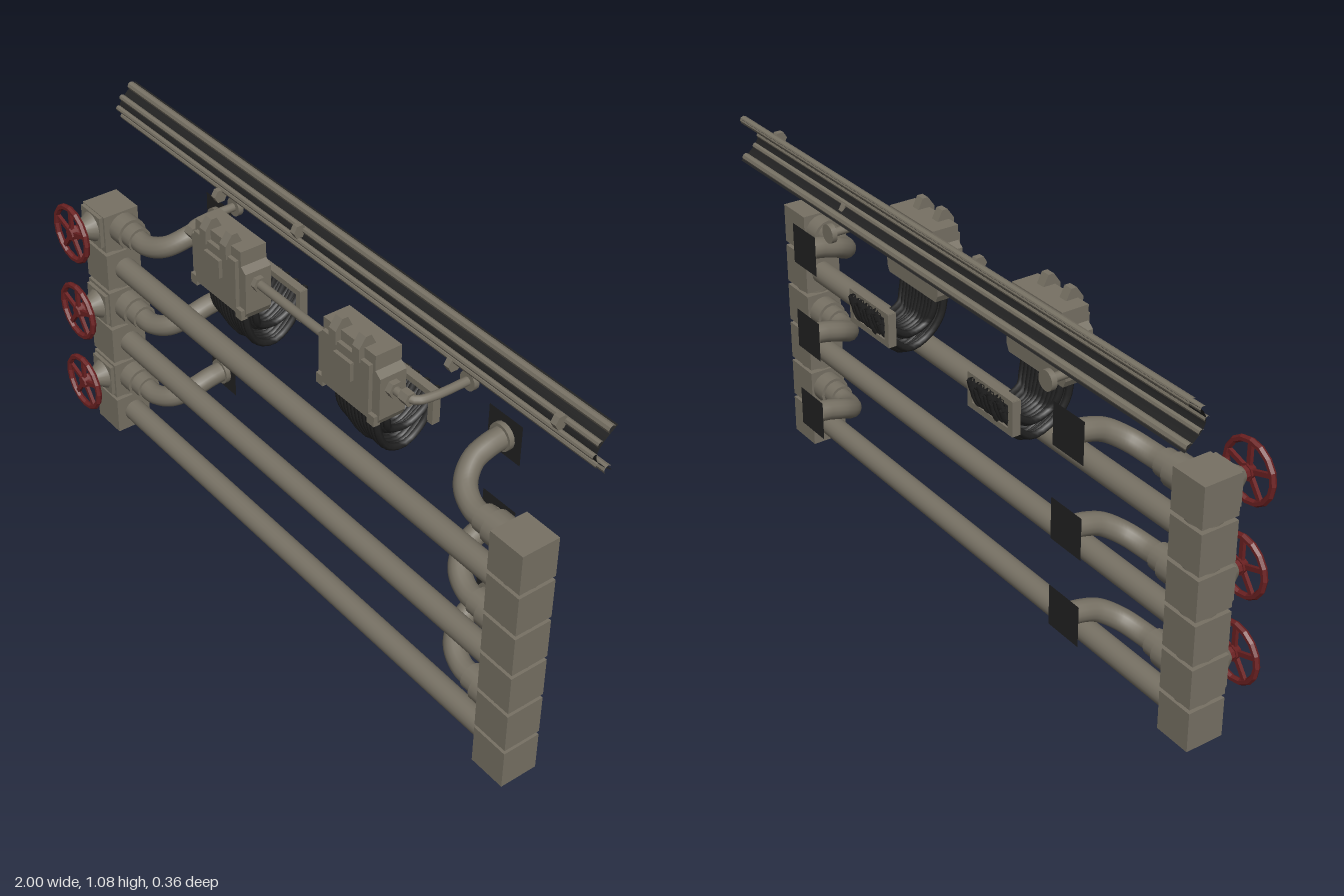
import * as THREE from 'three';

const steel = new THREE.MeshStandardMaterial({ name: 'grey brown steel', color: 0x777164 });
const steelFlat = new THREE.MeshStandardMaterial({ name: 'faceted steel', color: 0x777164, flatShading: true });
const red = new THREE.MeshStandardMaterial({ name: 'valve red', color: 0x6c2122, flatShading: true });
const black = new THREE.MeshStandardMaterial({ name: 'black rubber', color: 0x222222, side: THREE.DoubleSide });

const V = (x, y, z) => new THREE.Vector3(x, y, z);

function add(parent, name, geo, mat, x = 0, y = 0, z = 0) {
  const m = new THREE.Mesh(geo, mat);
  m.name = name;
  m.position.set(x, y, z);
  parent.add(m);
  return m;
}
const box = (p, name, w, h, d, x, y, z, mat = steel) =>
  add(p, name, new THREE.BoxGeometry(w, h, d), mat, x, y, z);

// Round part along an axis; r1 is the radius at the positive end
function rod(p, name, axis, r0, r1, len, x, y, z, mat = steel, sides = 16, open = false) {
  const g = new THREE.CylinderGeometry(r1, r0, len, sides, 1, open);
  if (axis === 'x') g.rotateZ(-Math.PI / 2);
  if (axis === 'z') g.rotateX(Math.PI / 2);
  return add(p, name, g, mat, x, y, z);
}
const tube = (p, name, pts, r, mat, seg = 20, sides = 12) =>
  add(p, name, new THREE.TubeGeometry(new THREE.CatmullRomCurve3(pts), seg, r, sides), mat);

// Stack of valve blocks joined by necks
function column(x) {
  const g = new THREE.Group();
  g.name = 'column';
  for (let i = 0; i < 6; i++) {
    const y = i * 0.1325 + 0.06;
    box(g, 'valveBlock', 0.115, 0.12, 0.115, x, y, 0.037);
    if (i < 5) rod(g, 'blockNeck', 'y', 0.05, 0.05, 0.03, x, y + 0.066, 0.037);
  }
  return g;
}

// Curved branch pipe; side -1 is the model's right, +1 its left
function branch(side, y) {
  const g = new THREE.Group();
  g.name = 'branchPipe';
  const X = (d) => 0.014 + side * d;
  rod(g, 'branchCollar', 'x', 0.047, 0.047, 0.05, X(0.82), y, 0.032);
  rod(g, 'branchSleeve', 'x', 0.038, 0.038, 0.04, X(0.775), y, 0.032);
  tube(g, 'branchBend', [
    V(X(0.79), y, 0.032), V(X(0.715), y, 0.03), V(X(0.655), y + 0.02, 0.005),
    V(X(0.622), y + 0.05, -0.045), V(X(0.616), y + 0.067, -0.1), V(X(0.615), y + 0.072, -0.14),
  ], 0.031, steel, 24, 14);
  rod(g, 'branchFlange', 'z', 0.039, 0.039, 0.015, X(0.615), y + 0.073, -0.143);
  add(g, 'wallPlate', new THREE.PlaneGeometry(0.122, 0.122), black, X(0.615), y + 0.073, -0.152);
  return g;
}

// Red hand wheel on its bonnet
function valve(x, y) {
  const g = new THREE.Group();
  g.name = 'valve';
  g.position.set(x, y, 0);
  box(g, 'bonnetPlate', 0.1, 0.1, 0.012, 0, 0, 0.1);
  rod(g, 'bonnet', 'z', 0.047, 0.022, 0.04, 0, 0, 0.124);
  rod(g, 'stem', 'z', 0.02, 0.02, 0.02, 0, 0, 0.15, red, 8);
  rod(g, 'wheelHub', 'z', 0.024, 0.018, 0.022, 0, 0, 0.169, red, 8);
  add(g, 'wheelRim', new THREE.TorusGeometry(0.083, 0.0095, 6, 16), red, 0, 0, 0.171);
  for (let i = 0; i < 5; i++) {
    const a = Math.PI / 2 + i * Math.PI * 0.4;
    const s = box(g, 'wheelSpoke', 0.07, 0.013, 0.01, Math.cos(a) * 0.048, Math.sin(a) * 0.048, 0.17, red);
    s.rotation.z = a;
  }
  return g;
}

// Junction box with its drooping wire bundle
function junction(x) {
  const g = new THREE.Group();
  g.name = 'junctionBox';
  g.position.x = x;
  const s = new THREE.Shape([
    [-0.115, 0.79], [0.115, 0.79], [0.125, 0.81], [0.125, 0.935], [0.105, 0.95],
    [0.105, 0.995], [-0.105, 0.995], [-0.105, 0.95], [-0.125, 0.935], [-0.125, 0.81],
  ].map(([a, b]) => new THREE.Vector2(a, b)));
  add(g, 'boxBody', new THREE.ExtrudeGeometry(s, { depth: 0.082, bevelEnabled: false }), steel, 0, 0, -0.016);
  box(g, 'boxDoor', 0.19, 0.16, 0.014, 0, 0.885, 0.071);
  box(g, 'doorPanel', 0.07, 0.055, 0.012, 0, 0.912, 0.083);
  for (const k of [-1, 1]) {
    // Sloped latch over the top edge
    const l = new THREE.Shape([[0.03, 0.995], [0.045, 1.025], [0.062, 1.025], [0.083, 0.995], [0.083, 0.955], [0.06, 0.955]]
      .map(([a, b]) => new THREE.Vector2(-a, b)));
    const geo = new THREE.ExtrudeGeometry(l, { depth: 0.028, bevelEnabled: false });
    geo.rotateY(Math.PI / 2);
    add(g, 'topLatch', geo, steel, k * 0.047 - 0.014, 0, 0);
    box(g, 'bottomHinge', 0.028, 0.03, 0.02, k * 0.105, 0.805, 0.068);
    box(g, 'bracketSide', 0.02, 0.1, 0.025, k * 0.088, 0.735, -0.145);
  }
  box(g, 'bracketTop', 0.19, 0.018, 0.025, 0, 0.777, -0.145);
  box(g, 'bracketBase', 0.19, 0.018, 0.025, 0, 0.694, -0.145);
  // Wires hang lower towards the middle, in two layers
  for (let layer = 0; layer < 2; layer++) {
    for (let i = -5; i <= 5; i++) {
      const t = i / 5;
      const low = layer * 0.05 + 0.012 * t * t + 0.006 * Math.sin(i * 7.3 + layer * 2);
      const end = 0.012 * Math.sin(i * 4.1 + layer);
      tube(g, 'wire', [
        V(t * 0.078, 0.8, 0.04 - layer * 0.03), V(t * 0.076, 0.71 + low * 0.5, 0.025 - layer * 0.025),
        V(t * 0.066, 0.645 + low, -0.015), V(t * 0.064, 0.627 + low, -0.07),
        V(t * 0.068, 0.668 + low * 0.8, -0.122), V(t * 0.07, 0.735 + low * 0.4 + end, -0.16),
        V(t * 0.07, 0.765 + end, -0.167),
      ], 0.0105, black, 18, 6);
    }
  }
  return g;
}

// Thin conduit from a box back to the wall
function conduit(side) {
  const g = new THREE.Group();
  g.name = 'conduit';
  rod(g, 'conduitNut', 'x', 0.024, 0.024, 0.018, side * 0.42, 0.9, 0.03, steelFlat, 6);
  tube(g, 'conduitBend', [
    V(side * 0.4, 0.9, 0.03), V(side * 0.455, 0.9, 0.03), V(side * 0.488, 0.9, 0.015),
    V(side * 0.5, 0.9, -0.03), V(side * 0.502, 0.9, -0.14),
  ], 0.0125, steel);
  rod(g, 'conduitElbow', 'x', 0.02, 0.02, 0.03, side * 0.465, 0.9, 0.026, steelFlat, 6);
  rod(g, 'conduitFlange', 'z', 0.028, 0.028, 0.016, side * 0.502, 0.9, -0.141);
  return g;
}

// Curved cable tray with cables along its front
function cableTray() {
  const g = new THREE.Group();
  g.name = 'cableTray';
  const arcZ = (dy) => -0.14 + 0.058 * Math.cos(dy / 0.066 * Math.PI / 2);
  const tray = new THREE.PlaneGeometry(2, 0.132, 1, 12);
  const p = tray.attributes.position;
  for (let i = 0; i < p.count; i++) p.setZ(i, arcZ(p.getY(i)));
  tray.computeVertexNormals();
  add(g, 'trayShell', tray, black, 0, 1.01, 0);
  for (const [dy, r] of [[0.058, 0.012], [0.03, 0.009], [0, 0.008], [-0.03, 0.009], [-0.058, 0.012]])
    rod(g, 'cable', 'x', r, r, 2, 0, 1.01 + dy, arcZ(dy) + 0.004, steelFlat, 8, true);
  for (const [x, y, z] of [[-0.12, 1.04, -0.077], [0.88, 1.04, -0.077], [-0.49, 0.965, -0.08], [0.49, 0.965, -0.092]])
    rod(g, 'cableClamp', 'x', 0.021, 0.021, 0.018, x, y, z, steelFlat, 6);
  return g;
}

export function createModel() {
  const model = new THREE.Group();
  model.name = 'pipeManifold';
  model.add(column(-0.888), column(0.917));

  // Long pipes between the columns
  for (const y of [0.06, 0.322, 0.588])
    rod(model, 'longPipe', 'x', 0.034, 0.034, 1.72, 0.014, y, 0.034, steel, 20);

  for (const y of [0.195, 0.458, 0.73]) {
    model.add(branch(-1, y), branch(1, y), valve(-0.888, y));
  }

  model.add(junction(-0.285), junction(0.283), conduit(-1), conduit(1), cableTray());
  rod(model, 'linkConduit', 'x', 0.013, 0.013, 0.34, 0, 0.9, 0.03);
  for (const k of [-1, 1]) rod(model, 'linkNut', 'x', 0.022, 0.022, 0.016, k * 0.15, 0.9, 0.03, steelFlat, 6);
  return model;
}
